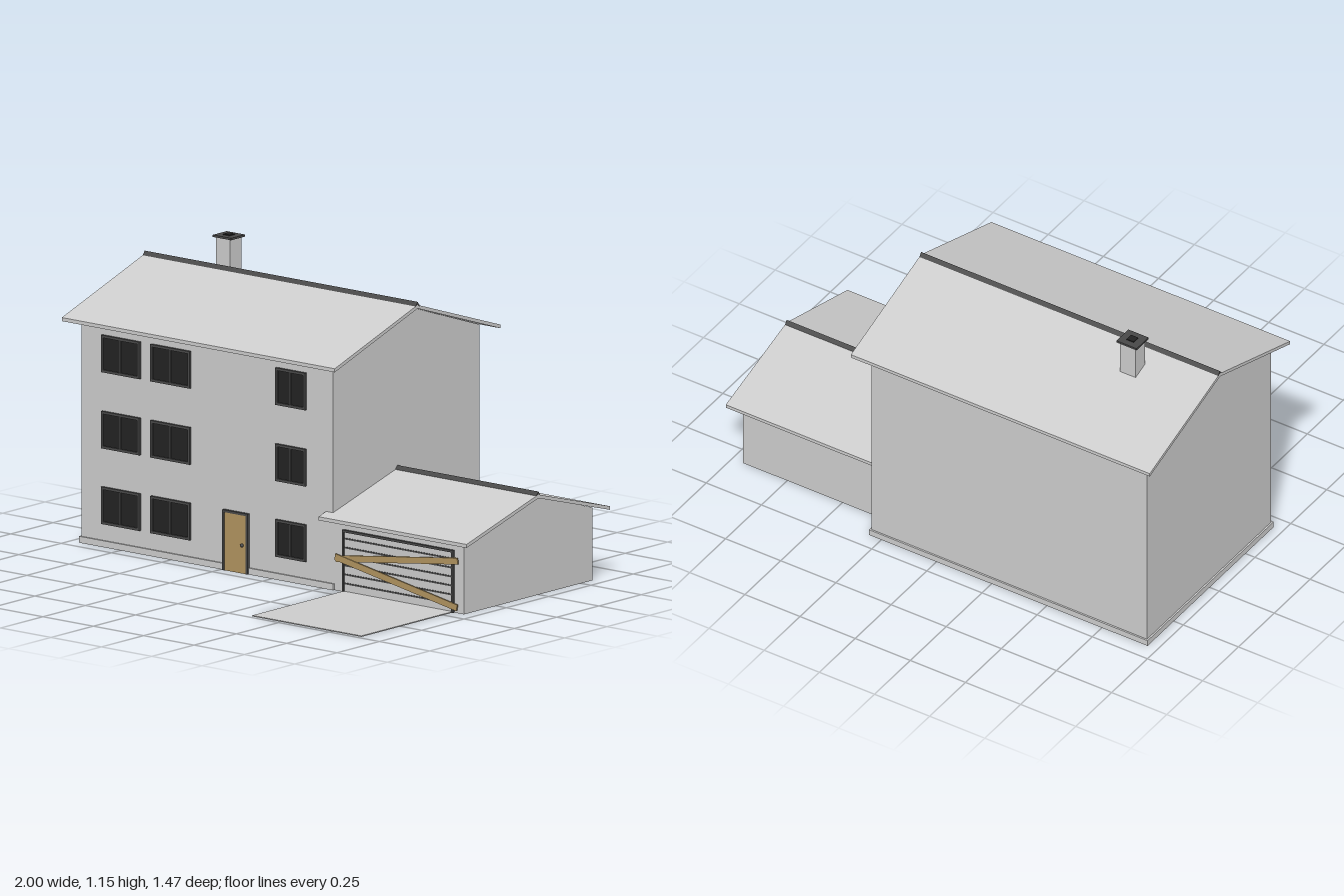
import * as THREE from 'three';

const mat = (name, color) => {
  const m = new THREE.MeshStandardMaterial({ color });
  m.name = name;
  return m;
};

export function createModel() {
  const plaster = mat('light plaster', 0xcccccc);
  const trim = mat('dark trim', 0x484848);
  const glass = mat('dark glass', 0x222222);
  const wood = mat('tan wood', 0xb0935f);

  const house = new THREE.Group();
  house.name = 'house';

  const add = (parent, name, geo, material) => {
    const m = new THREE.Mesh(geo, material);
    m.name = name;
    parent.add(m);
    return m;
  };
  // Box given by its extents on each axis
  const box = (parent, name, material, x0, x1, y0, y1, z0, z1) => {
    const g = new THREE.BoxGeometry(x1 - x0, y1 - y0, z1 - z0);
    g.translate((x0 + x1) / 2, (y0 + y1) / 2, (z0 + z1) / 2);
    return add(parent, name, g, material);
  };
  // (z, y) outline swept along x
  const sweep = (parent, name, material, pts, x0, x1) => {
    const shape = new THREE.Shape(pts.map(([z, y]) => new THREE.Vector2(z, y)));
    const g = new THREE.ExtrudeGeometry(shape, { depth: x1 - x0, bevelEnabled: false });
    g.rotateY(-Math.PI / 2);
    g.translate(x1, 0, 0);
    return add(parent, name, g, material);
  };
  // Pitched roof slab with its ridge cap
  const roof = (name, x0, x1, zFront, zBack, eave, apex) => {
    const g = new THREE.Group();
    g.name = name;
    house.add(g);
    const t = 0.014, mid = (zFront + zBack) / 2;
    sweep(g, 'roofSlab', plaster, [
      [zFront, eave], [zFront, eave + t], [mid, apex], [zBack, eave + t], [zBack, eave], [mid, apex - t],
    ], x0, x1);
    sweep(g, 'ridgeCap', trim, [
      [mid - 0.015, apex - 0.008], [mid + 0.015, apex - 0.008], [mid, apex + 0.012],
    ], x0, x1);
  };

  const front = 0.19;

  // Main block: plinth, three storeys, gable
  box(house, 'plinth', plaster, -0.957, 0.306, 0, 0.025, -0.683, 0.197);
  const levels = [0, 0.295, 0.59, 0.883];
  for (let i = 0; i < 3; i++)
    box(house, 'storey' + (i + 1), plaster, -0.95, 0.3, levels[i], levels[i + 1], -0.676, front);
  sweep(house, 'mainGable', plaster, [[front, 0.883], [-0.243, 1.03], [-0.676, 0.883]], -0.95, 0.3);
  roof('mainRoof', -1, 0.355, 0.246, -0.734, 0.866, 1.043);

  // Garage block
  box(house, 'garage', plaster, 0.3, 0.95, 0, 0.284, -0.57, front);
  sweep(house, 'garageGable', plaster, [[front, 0.284], [-0.19, 0.398], [-0.57, 0.284]], 0.3, 0.95);
  roof('garageRoof', 0.265, 1, 0.235, -0.614, 0.274, 0.408);

  // Rectangular surround of four bars
  const surround = (parent, x0, x1, y0, y1, w, z1) => {
    box(parent, 'frameLeft', trim, x0, x0 + w, y0, y1, front, z1);
    box(parent, 'frameRight', trim, x1 - w, x1, y0, y1, front, z1);
    box(parent, 'frameTop', trim, x0 + w, x1 - w, y1 - w, y1, front, z1);
  };

  // Windows on every storey
  for (const y of [0.09, 0.385, 0.682]) {
    for (const [x0, x1] of [[-0.845, -0.655], [-0.6, -0.405], [0.02, 0.168]]) {
      const win = new THREE.Group();
      win.name = 'window';
      house.add(win);
      const h = 0.145, w = 0.01, mid = (x0 + x1) / 2;
      box(win, 'pane', glass, x0 + w, x1 - w, y + w, y + h - w, front, 0.195);
      surround(win, x0, x1, y, y + h, w, 0.2);
      box(win, 'frameBottom', trim, x0 + w, x1 - w, y, y + w, front, 0.2);
      box(win, 'mullion', trim, mid - 0.003, mid + 0.003, y + w, y + h - w, front, 0.199);
    }
  }

  // Front door
  const door = new THREE.Group();
  door.name = 'frontDoor';
  house.add(door);
  surround(door, -0.24, -0.115, 0, 0.236, 0.009, 0.203);
  box(door, 'doorLeaf', wood, -0.231, -0.124, 0, 0.227, front, 0.2);
  const knob = add(door, 'doorKnob', new THREE.SphereGeometry(0.007, 12, 8), trim);
  knob.position.set(-0.142, 0.11, 0.203);

  // Garage door with slat joints
  const gate = new THREE.Group();
  gate.name = 'garageDoor';
  house.add(gate);
  surround(gate, 0.352, 0.903, 0, 0.244, 0.009, 0.2);
  box(gate, 'doorPanel', plaster, 0.361, 0.894, 0, 0.235, front, 0.194);
  for (let i = 1; i <= 6; i++)
    box(gate, 'slatJoint', trim, 0.361, 0.894, i * 0.035 - 0.003, i * 0.035 + 0.003, front, 0.197);

  // Planks nailed across the garage door
  const plank = (x0, y0, x1, y1, z) => {
    const g = new THREE.BoxGeometry(Math.hypot(x1 - x0, y1 - y0), 0.025, 0.006);
    const m = add(gate, 'plank', g, wood);
    m.position.set((x0 + x1) / 2, (y0 + y1) / 2, z);
    m.rotation.z = Math.atan2(y1 - y0, x1 - x0);
  };
  plank(0.325, 0.128, 0.93, 0.207, 0.203);
  plank(0.325, 0.136, 0.93, 0.025, 0.207);

  // Driveway
  box(house, 'driveway', plaster, 0.355, 0.897, 0, 0.004, front, 0.734);

  // Chimney
  const chimney = new THREE.Group();
  chimney.name = 'chimney';
  house.add(chimney);
  box(chimney, 'chimneyStack', plaster, -0.711, -0.641, 0.95, 1.137, -0.388, -0.322);
  box(chimney, 'chimneyCap', trim, -0.722, -0.631, 1.137, 1.145, -0.398, -0.315);
  box(chimney, 'flue', glass, -0.692, -0.66, 1.145, 1.149, -0.372, -0.341);

  return house;
}
